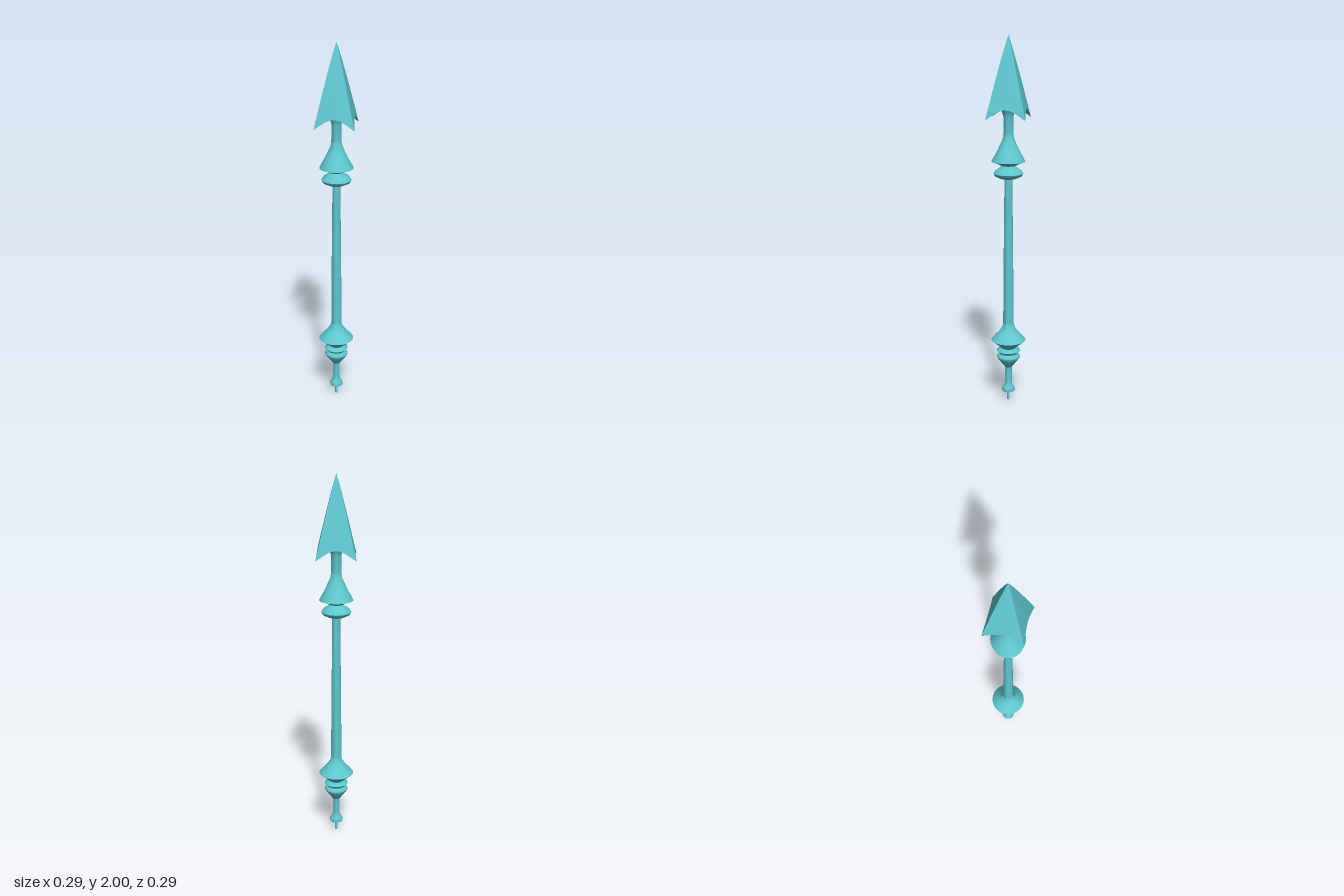
import * as THREE from 'three';
import { toCreasedNormals } from 'three/addons/utils/BufferGeometryUtils.js';

const material = new THREE.MeshStandardMaterial({ color: 0x5fc8d0, side: THREE.DoubleSide });

// Turned part from [radius, height] pairs, bottom to top
function turned(name, profile) {
  const points = profile.map(([r, y]) => new THREE.Vector2(r, y));
  const geometry = toCreasedNormals(new THREE.LatheGeometry(points, 24), 0.9);
  const mesh = new THREE.Mesh(geometry, material);
  mesh.name = name;
  return mesh;
}

// Four-barbed hollow point: rings run from the tip to the rim, then back in underneath
function spearHead() {
  const perSide = 8, cols = perSide * 4, outer = 12, inner = 5;
  const pos = [], index = [];
  for (let row = 0; row <= outer + inner; row++) {
    for (let c = 0; c <= cols; c++) {
      const side = Math.floor(c / perSide), s = (c % perSide) / perSide;
      const a = side * Math.PI / 2, arch = Math.sin(Math.PI * s);
      const dent = 1 - 0.08 * arch;
      const x = ((1 - s) * Math.cos(a) - s * Math.sin(a)) * dent;
      const z = ((1 - s) * Math.sin(a) + s * Math.cos(a)) * dent;
      const rimY = 1.572 + 0.053 * arch;
      if (row <= outer) {
        const t = row / outer, r = 0.147 * Math.pow(t, 0.92);
        pos.push(x * r, 2 + (rimY - 2) * t, z * r);
      } else {
        const u = (row - outer) / inner, r = 0.147 + (0.024 - 0.147) * u;
        pos.push(x * r, rimY + (1.645 - rimY) * Math.sqrt(u), z * r);
      }
    }
  }
  const w = cols + 1;
  for (let row = 0; row < outer + inner; row++) {
    for (let c = 0; c < cols; c++) {
      const a = row * w + c, b = a + 1, d = a + w, e = d + 1;
      if (row > 0) index.push(a, b, d);
      index.push(b, e, d);
    }
  }
  const geometry = new THREE.BufferGeometry();
  geometry.setAttribute('position', new THREE.Float32BufferAttribute(pos, 3));
  geometry.setIndex(index);
  const mesh = new THREE.Mesh(toCreasedNormals(geometry, 0.8), material);
  mesh.name = 'spearHead';
  return mesh;
}

export function createModel() {
  const group = new THREE.Group();
  group.name = 'spear';
  group.add(
    // Thin pin and small foot at the butt
    turned('buttPin', [[0, 0], [0.007, 0], [0.007, 0.06]]),
    turned('buttFoot', [[0, 0.053], [0.034, 0.055], [0.036, 0.065], [0.03, 0.078], [0.022, 0.09], [0.019, 0.11], [0.019, 0.2]]),
    // Stacked rings and wide bulge above the grip
    turned('lowerCollar', [
      [0.019, 0.195], [0.035, 0.215], [0.056, 0.242], [0.064, 0.257], [0.06, 0.267], [0.048, 0.274],
      [0.05, 0.28], [0.064, 0.292], [0.062, 0.297], [0.037, 0.306], [0.06, 0.326], [0.095, 0.354],
      [0.08, 0.372], [0.052, 0.402], [0.034, 0.428], [0.029, 0.45],
    ]),
    turned('shaft', [[0.029, 0.45], [0.026, 0.8], [0.021, 1.27]]),
    // Double collar beneath the head
    turned('upperCollar', [
      [0.02, 1.255], [0.045, 1.257], [0.072, 1.27], [0.079, 1.283], [0.07, 1.298], [0.045, 1.315],
      [0.038, 1.325], [0.06, 1.336], [0.09, 1.347], [0.083, 1.362], [0.064, 1.395], [0.045, 1.435],
      [0.032, 1.463], [0.027, 1.49],
    ]),
    turned('neck', [[0.027, 1.49], [0.026, 1.58], [0.034, 1.61], [0.05, 1.635]]),
    spearHead(),
  );
  return group;
}
